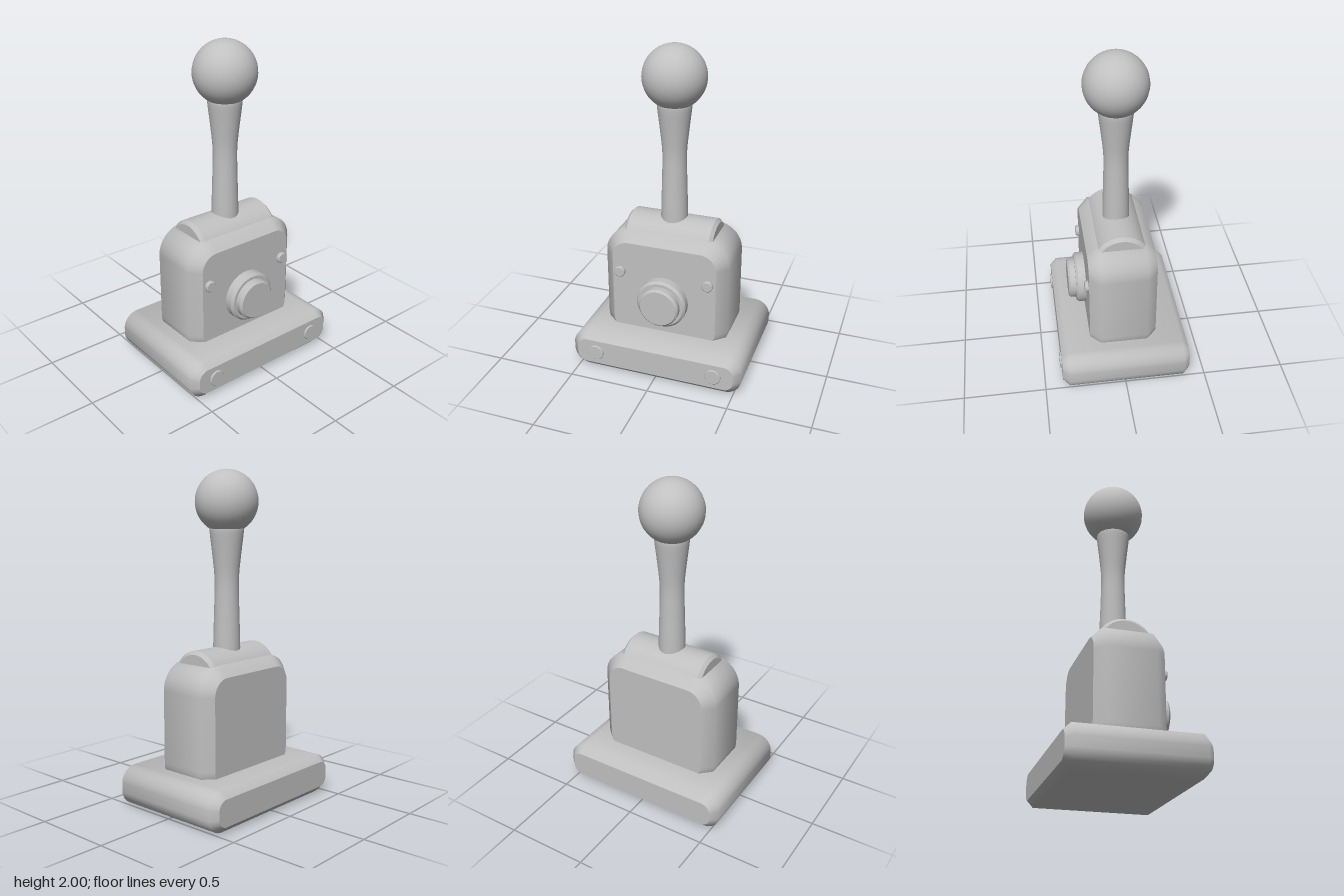
import * as THREE from 'three';
import { toCreasedNormals, mergeGeometries } from 'three/addons/utils/BufferGeometryUtils.js';

const grey = new THREE.MeshStandardMaterial({ color: 0xc0c0c0 });
grey.name = 'grey';

// Rounded rectangle extruded along z, chamfered at both ends: smooth sides, flat ends
function chamferedBlock(w, y0, y1, z0, z1, radius, chamfer) {
  const x = w / 2 - chamfer, b = y0 + chamfer, t = y1 - chamfer, r = radius - chamfer;
  const s = new THREE.Shape();
  s.moveTo(-x + r, b);
  s.lineTo(x - r, b);
  s.absarc(x - r, b + r, r, -Math.PI / 2, 0);
  s.lineTo(x, t - r);
  s.absarc(x - r, t - r, r, 0, Math.PI / 2);
  s.lineTo(-x + r, t);
  s.absarc(-x + r, t - r, r, Math.PI / 2, Math.PI);
  s.lineTo(-x, b + r);
  s.absarc(-x + r, b + r, r, Math.PI, Math.PI * 1.5);
  const geo = new THREE.ExtrudeGeometry(s, {
    depth: z1 - z0 - 2 * chamfer, curveSegments: 8,
    bevelSize: chamfer, bevelThickness: chamfer, bevelSegments: 1,
  });
  geo.translate(0, 0, z0 + chamfer);
  const parts = geo.groups.map(({ start, count }) => {
    const g = new THREE.BufferGeometry();
    const p = geo.attributes.position.array.slice(start * 3, (start + count) * 3);
    g.setAttribute('position', new THREE.BufferAttribute(p, 3));
    return toCreasedNormals(g, 1);
  });
  return mergeGeometries(parts);
}

// Disc or drum with chamfered rims, axis along y from 0 to h
function chamferedDrum(r, h, c, bothEnds = false) {
  const pts = [[0, 0], ...(bothEnds ? [[r - c, 0], [r, c]] : [[r, 0]]), [r, h - c], [r - c, h], [0, h]];
  const geo = new THREE.LatheGeometry(pts.map(([x, y]) => new THREE.Vector2(x, y)), 40);
  return toCreasedNormals(geo, 0.6);
}

export function createModel() {
  const model = new THREE.Group();
  model.name = 'leverSwitch';
  const add = (name, geo, x = 0, y = 0, z = 0) => {
    const mesh = new THREE.Mesh(geo, grey);
    mesh.name = name;
    mesh.position.set(x, y, z);
    model.add(mesh);
    return mesh;
  };
  const addFront = (name, r, h, c, x, y, z) => {
    add(name, chamferedDrum(r, h, c), x, y, z).rotation.x = Math.PI / 2;
  };

  // Foot and housing
  add('base', chamferedBlock(1.084, 0, 0.24, -0.4, 0.39, 0.1, 0.04));
  add('housing', chamferedBlock(0.784, 0.12, 0.88, -0.212, 0.2, 0.165, 0.063));

  // Pivot drum half sunk into the housing top
  add('pivotDrum', chamferedDrum(0.17, 0.56, 0.02, true), 0.28, 0.783, -0.006).rotation.z = Math.PI / 2;

  // Lever waisted in the middle, with ball grip
  const profile = new THREE.SplineCurve([
    [0.083, 0.85], [0.081, 1.0], [0.075, 1.2], [0.073, 1.36], [0.086, 1.5], [0.101, 1.63], [0.1, 1.66],
  ].map(([x, y]) => new THREE.Vector2(x, y)));
  add('lever', new THREE.LatheGeometry(profile.getPoints(24), 32), 0, 0, -0.006);
  add('ballGrip', new THREE.SphereGeometry(0.188, 32, 24), 0, 1.812, -0.006);

  // Stepped front button
  addFront('buttonCollar', 0.157, 0.07, 0.014, 0, 0.463, 0.19);
  addFront('button', 0.125, 0.065, 0.012, 0, 0.463, 0.24);

  // Paired fasteners on housing and base
  for (const side of [-1, 1]) {
    addFront('housingScrew', 0.034, 0.032, 0.005, side * 0.28, 0.62, 0.19);
    addFront('baseBolt', 0.049, 0.03, 0.004, side * 0.378, 0.12, 0.37);
  }
  return model;
}
